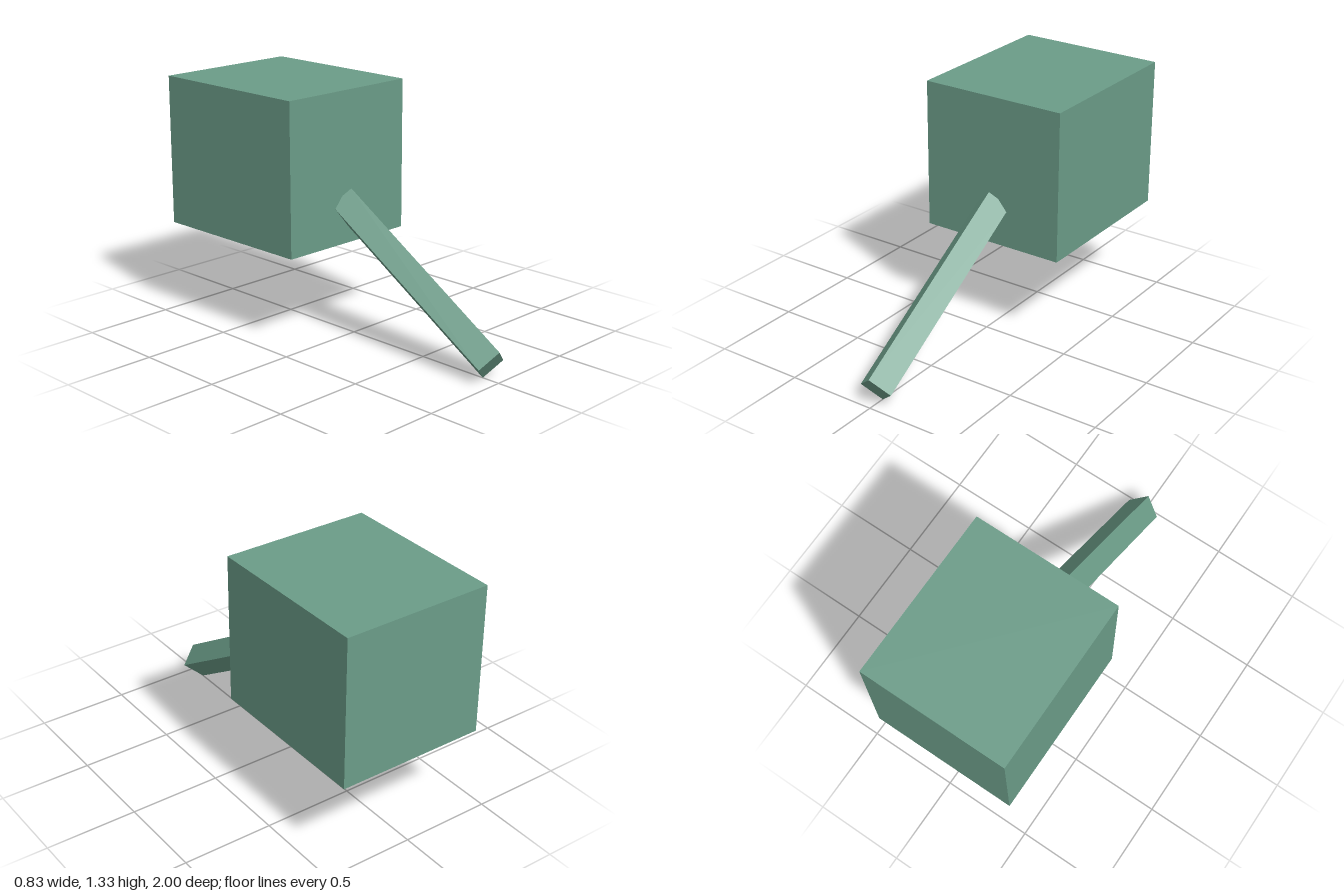
import * as THREE from 'three';

export function createModel() {
  const model = new THREE.Group();
  model.name = 'mallet';

  const green = new THREE.MeshStandardMaterial({ color: 0x6b9c88, flatShading: true });
  green.name = 'sageGreen';

  // Block head
  const head = new THREE.Mesh(new THREE.BoxGeometry(0.83, 0.828, 0.957), green);
  head.name = 'head';
  head.position.set(0, 0.914, -0.5215);
  model.add(head);

  // Square handle turned on edge, sloping from the ground up into the head
  const foot = new THREE.Vector3(0, 0.083, 0.95);
  const tip = new THREE.Vector3(0, 0.721, -0.071);
  const axis = tip.clone().sub(foot);
  const handle = new THREE.Mesh(new THREE.CylinderGeometry(0.096, 0.096, axis.length(), 4), green);
  handle.name = 'handle';
  handle.position.copy(foot).add(tip).multiplyScalar(0.5);
  handle.rotation.x = Math.atan2(axis.z, axis.y);
  model.add(handle);

  return model;
}
